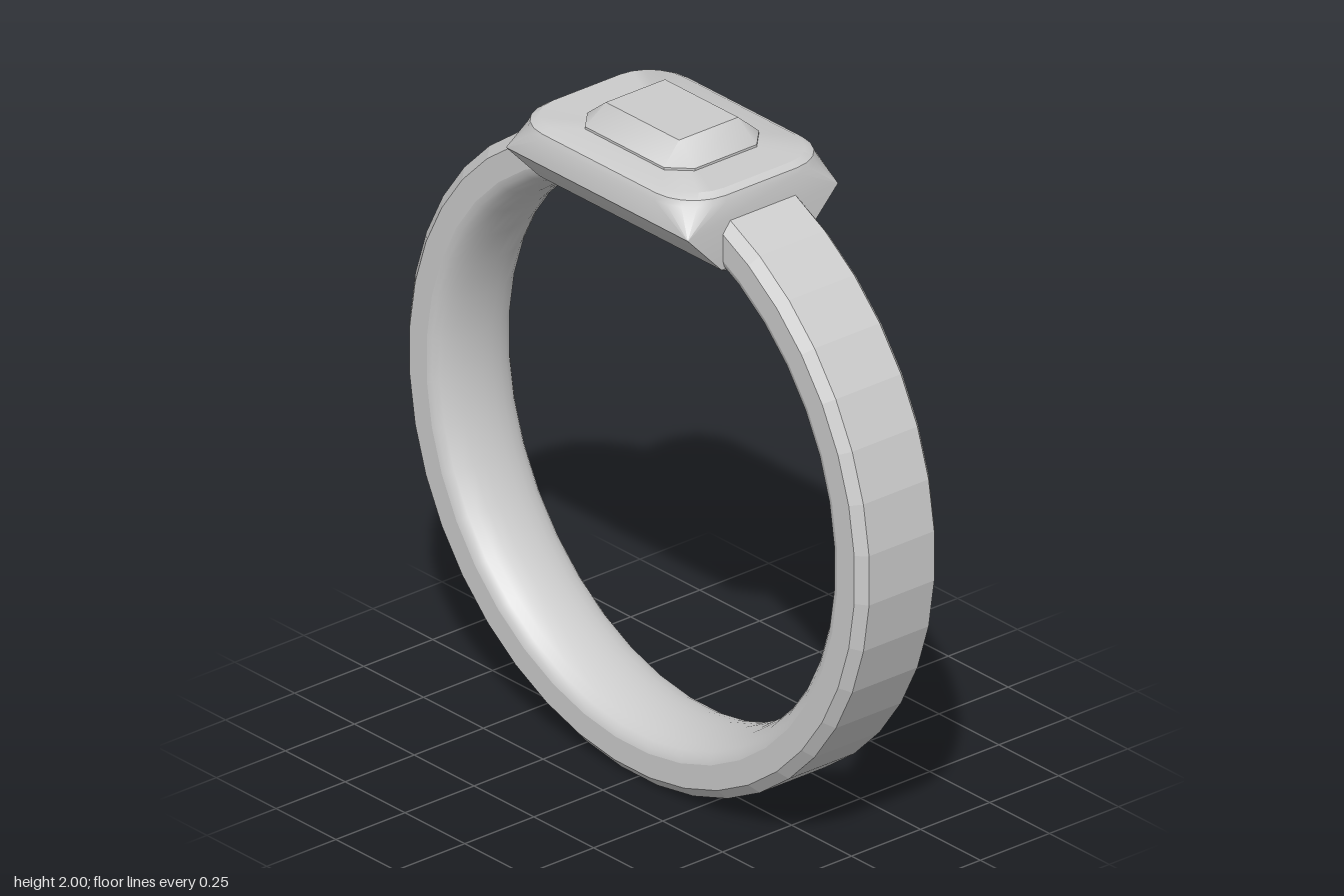
import * as THREE from 'three';
import { toCreasedNormals } from 'three/addons/utils/BufferGeometryUtils.js';

const CENTRE = 0.96; // height of the band's axis
const SEGMENTS = 40;

// Rounded rectangle at height y: half width w, half depth d, corner radius r, n steps per corner
function section(w, d, y, r, n) {
  const pts = [];
  const signs = [[1, 1], [-1, 1], [-1, -1], [1, -1]];
  signs.forEach(([sx, sz], corner) => {
    for (let i = 0; i <= n; i++) {
      const a = (corner + i / n) * Math.PI / 2;
      pts.push(new THREE.Vector3(sx * (w - r) + r * Math.cos(a), y, sz * (d - r) + r * Math.sin(a)));
    }
  });
  return pts;
}

// Closed solid through sections stacked from bottom to top
function loft(sections, crease) {
  const out = [];
  const tri = (a, b, c) => {
    if (new THREE.Triangle(a, b, c).getArea() > 1e-7) for (const p of [a, b, c]) out.push(p.x, p.y, p.z);
  };
  const count = sections[0].length;
  const last = sections[sections.length - 1];
  const bottom = new THREE.Vector3(0, sections[0][0].y, 0);
  const top = new THREE.Vector3(0, last[0].y, 0);
  for (let i = 0; i < count; i++) {
    const j = (i + 1) % count;
    for (let s = 0; s < sections.length - 1; s++) {
      const lo = sections[s], hi = sections[s + 1];
      tri(lo[i], hi[i], lo[j]);
      tri(lo[j], hi[i], hi[j]);
    }
    tri(bottom, sections[0][i], sections[0][j]);
    tri(top, last[j], last[i]);
  }
  const geo = new THREE.BufferGeometry();
  geo.setAttribute('position', new THREE.Float32BufferAttribute(out, 3));
  return toCreasedNormals(geo, crease);
}

// Profile of [radius, x] turned about the x axis
function turned(profile) {
  const pts = profile.map(([r, x]) => new THREE.Vector2(r, x));
  return new THREE.LatheGeometry(pts, SEGMENTS, Math.PI / SEGMENTS)
    .rotateZ(Math.PI / 2).translate(0, CENTRE, 0);
}

export function createModel() {
  const group = new THREE.Group();
  const smooth = new THREE.MeshStandardMaterial({ color: 0xcccccc });
  const faceted = new THREE.MeshStandardMaterial({ color: 0xcccccc, flatShading: true });
  const add = (name, geo, mat) => {
    const mesh = new THREE.Mesh(geo, mat);
    mesh.name = name;
    group.add(mesh);
  };

  // Band: faceted outside with bevelled edges
  add('bandOuter', turned([
    [0.86, -0.145], [0.932, -0.145], [0.963, -0.118],
    [0.963, 0.118], [0.932, 0.145], [0.86, 0.145],
  ]), faceted);

  // Band: rounded inside
  const inner = [];
  for (let i = 0; i <= 12; i++) {
    const a = i / 12 * Math.PI;
    inner.push([0.86 - 0.065 * Math.sin(a), 0.145 * Math.cos(a)]);
  }
  add('bandInner', turned(inner), smooth);

  // Setting: flared base, square belt, rounded upper rim
  const n = 5;
  add('setting', loft([
    section(0.13, 0.37, 1.69, 0, n),
    section(0.15, 0.38, 1.702, 0, n),
    section(0.272, 0.38, 1.83, 0, n),
    section(0.272, 0.38, 1.905, 0.14, n),
    section(0.264, 0.374, 1.922, 0.135, n),
    section(0.24, 0.355, 1.935, 0.12, n),
  ], 0.5), smooth);

  // Stone: cut-corner base tapering to a flat table
  add('stone', loft([
    section(0.172, 0.225, 1.92, 0.06, 1),
    section(0.172, 0.225, 1.942, 0.06, 1),
    section(0.107, 0.153, 2.0, 0, 1),
  ], 0.55), smooth);

  return group;
}
